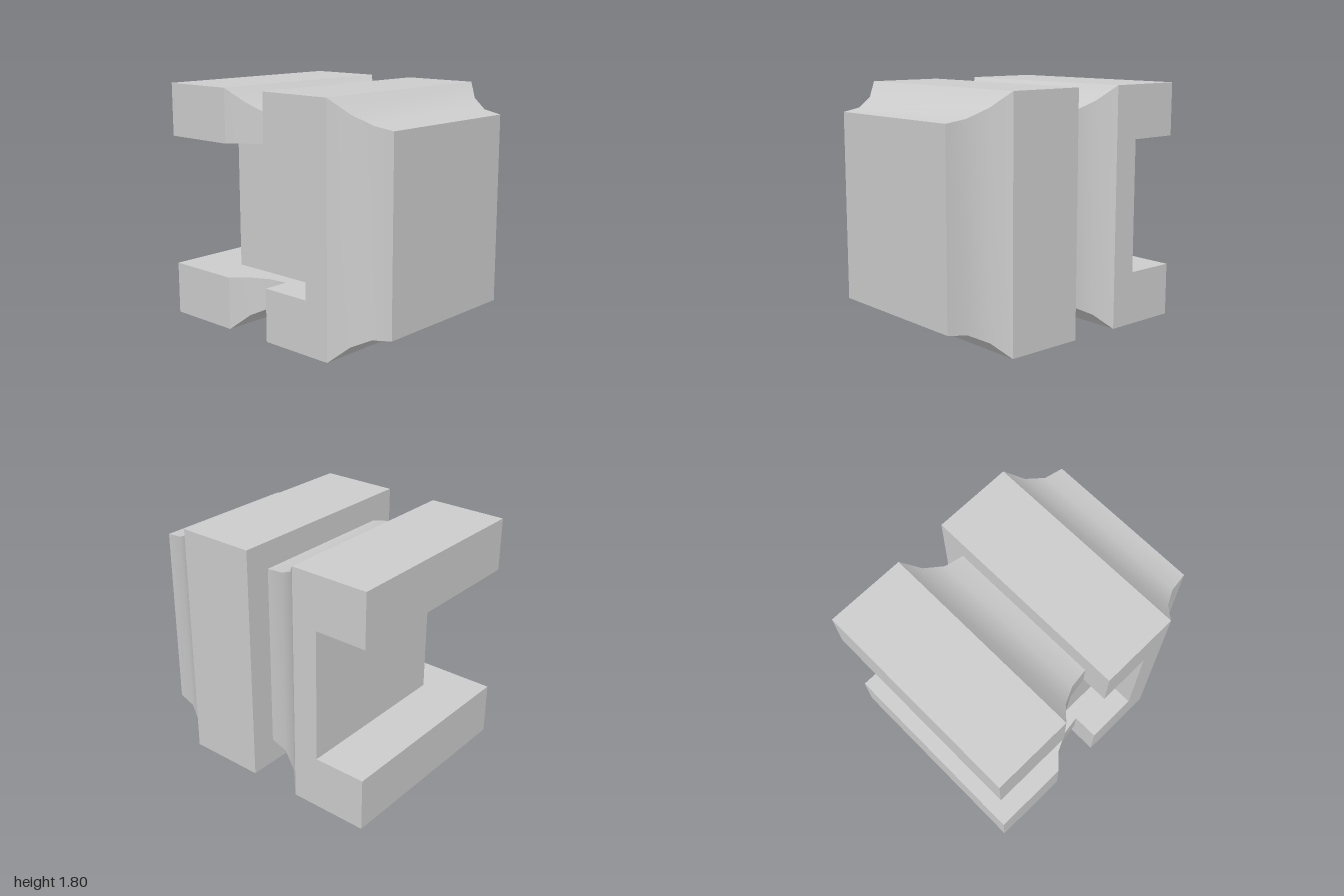
import * as THREE from 'three';

const material = new THREE.MeshStandardMaterial({ color: 0xcccccc });
const HALF_W = 0.8, HEIGHT = 1.8;
const NOTCH = { x: -0.5, y0: 0.4, y1: 1.4 };

// Cross-section outlines, counter-clockwise seen from +z, shrunk evenly by inset
function rectOutline(inset) {
  const w = HALF_W - inset, lo = inset, hi = HEIGHT - inset;
  return [[-w, lo], [w, lo], [w, hi], [-w, hi]];
}

function notchedOutline(inset) {
  const w = HALF_W - inset;
  return [...rectOutline(inset),
    [-w, NOTCH.y1], [NOTCH.x, NOTCH.y1], [NOTCH.x, NOTCH.y0], [-w, NOTCH.y0]];
}

const toShape = (points) => new THREE.Shape(points.map(([x, y]) => new THREE.Vector2(x, y)));

// Concave flare 0.4 deep: full size at zBack, inset by 0.2 at the front.
// Each outline edge gets its own strip, so it is smooth along z with sharp corners.
function flareGeometry(outline, zBack) {
  const steps = 3, radius = 0.5, sweep = Math.asin(0.8);
  const rings = [];
  for (let i = 0; i <= steps; i++) {
    const a = sweep * (1 - i / steps);
    rings.push({
      z: zBack + 0.4 - radius * Math.sin(a),
      points: outline(radius * Math.cos(a) - 0.3),
    });
  }
  const positions = [], index = [];
  const count = rings[0].points.length;
  for (let e = 0; e < count; e++) {
    const base = positions.length / 3;
    rings.forEach(({ z, points }, i) => {
      positions.push(...points[e], z, ...points[(e + 1) % count], z);
      if (i < steps) {
        const a = base + i * 2;
        index.push(a, a + 1, a + 3, a, a + 3, a + 2);
      }
    });
  }
  const geometry = new THREE.BufferGeometry();
  geometry.setAttribute('position', new THREE.Float32BufferAttribute(positions, 3));
  geometry.setIndex(index);
  geometry.computeVertexNormals();
  return geometry;
}

// Straight block with the given outline between two z values
function blockGeometry(outline, z0, z1) {
  return new THREE.ExtrudeGeometry(toShape(outline(0)), { depth: z1 - z0, bevelEnabled: false })
    .translate(0, 0, z0);
}

export function createModel() {
  const group = new THREE.Group();
  const add = (name, geometry) => {
    const mesh = new THREE.Mesh(geometry, material);
    mesh.name = name;
    group.add(mesh);
    return mesh;
  };

  // Front flare and its flat face
  add('frontFlare', flareGeometry(rectOutline, 0.6));
  add('frontFace', new THREE.ShapeGeometry(toShape(rectOutline(0.2)))).position.z = 1;

  // Front block: solid at the front, notched on one side behind
  add('frontBlock', blockGeometry(rectOutline, 0.4, 0.6));
  add('frontBlockNotched', blockGeometry(notchedOutline, 0, 0.4));

  // Rear flare and block, with the side notch running through both
  add('rearFlare', flareGeometry(notchedOutline, -0.4));
  add('rearBlock', blockGeometry(notchedOutline, -0.6, -0.4));

  // Bars standing out at the back, below and above the open channel
  for (const [name, y] of [['lowerBar', 0.2], ['upperBar', 1.6]]) {
    add(name, new THREE.BoxGeometry(1.6, 0.4, 0.4)).position.set(0, y, -0.8);
  }
  return group;
}
